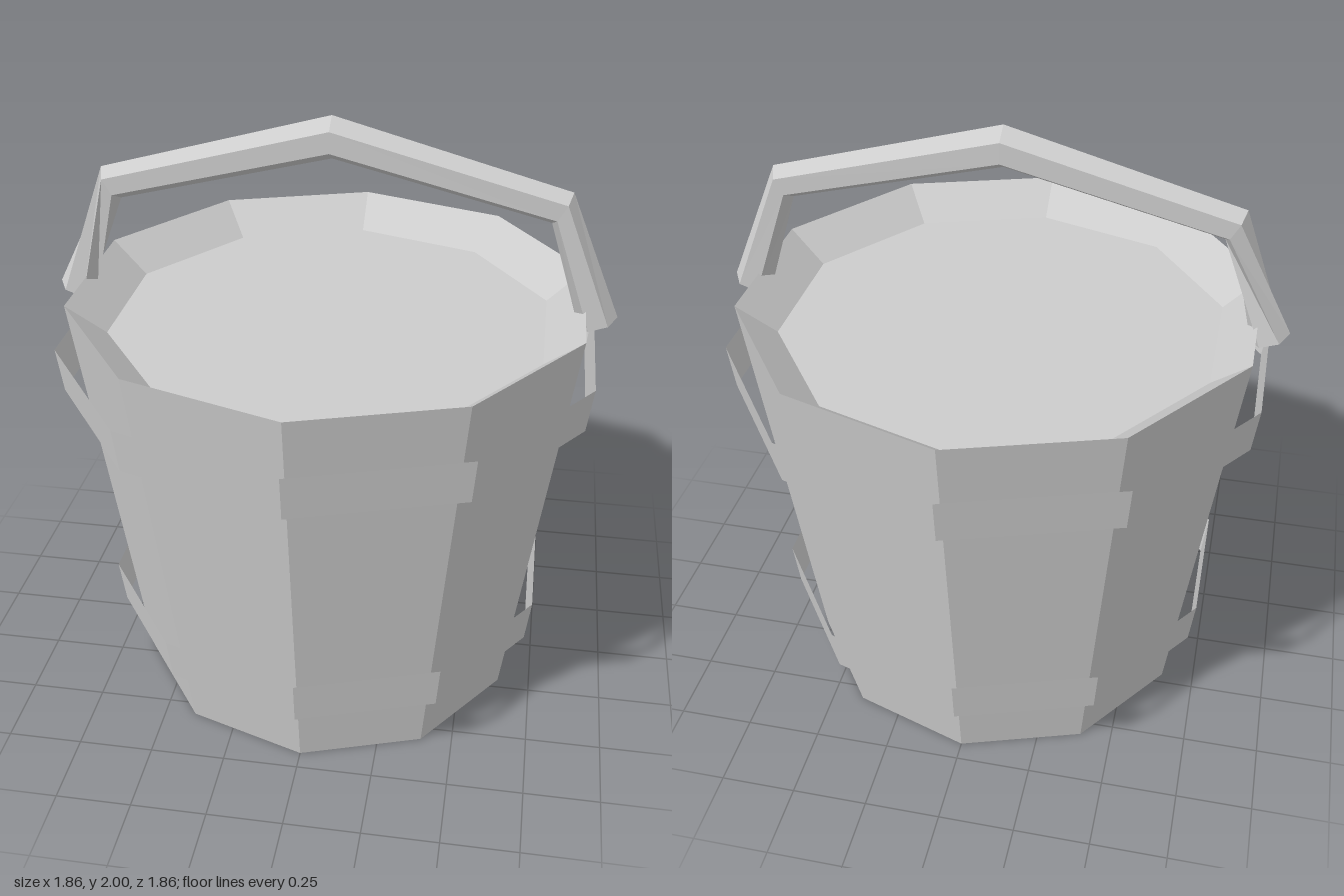
import * as THREE from 'three';

const SIDES = 10;
const SQUASH = 0.982; // the bucket is slightly narrower in x than in z

export function createModel() {
  const group = new THREE.Group();
  const grey = new THREE.MeshStandardMaterial({ color: 0xcccccc, flatShading: true, side: THREE.DoubleSide });
  grey.name = 'plain grey';

  const add = (name, geometry) => {
    const mesh = new THREE.Mesh(geometry, grey);
    mesh.name = name;
    group.add(mesh);
    return mesh;
  };
  const turned = (name, profile) => {
    const points = profile.map(([r, y]) => new THREE.Vector2(r, y));
    add(name, new THREE.LatheGeometry(points, SIDES)).scale.x = SQUASH;
  };

  // Tapered body, sharp rim and the raised surface just inside it
  turned('bucketBody', [[0, 0], [0.685, 0], [0.886, 1.415], [0.755, 1.31], [0, 1.31]]);

  // Thin hoops standing off the staves
  turned('lowerHoop', [[0.77, 0.228], [0.79, 0.38]]);
  turned('upperHoop', [[0.912, 1.11], [0.932, 1.26]]);

  add('handle', handleGeometry());
  return group;
}

// Hexagonal bar swept over five stations, with a twisted last section on one side
function handleGeometry() {
  const N = 6;
  const stations = [ // x, y, outward normal x and y, radius, twist steps
    [-0.87, 1.356, -0.94, 0.33, 0.065, 2],
    [-0.728, 1.74, -0.5, 0.866, 0.06, 0],
    [0, 1.93, 0, 1, 0.07, 0],
    [0.728, 1.74, 0.5, 0.866, 0.06, 0],
    [0.87, 1.356, 0.94, 0.33, 0.065, 0],
  ];
  const positions = [];
  const index = [];
  for (const [x, y, nx, ny, r, twist] of stations) {
    for (let j = 0; j < N; j++) {
      const a = ((j + twist) / N) * Math.PI * 2;
      const out = r * Math.cos(a);
      positions.push(x + out * nx, y + out * ny, r * Math.sin(a));
    }
  }
  // Side faces
  for (let i = 0; i < stations.length - 1; i++) {
    for (let j = 0; j < N; j++) {
      const k = (j + 1) % N;
      const a = i * N + j, b = i * N + k, c = (i + 1) * N + k, d = (i + 1) * N + j;
      index.push(a, b, c, a, c, d);
    }
  }
  // End caps
  const last = (stations.length - 1) * N;
  for (let j = 1; j < N - 1; j++) {
    index.push(0, j + 1, j, last, last + j, last + j + 1);
  }
  const geometry = new THREE.BufferGeometry();
  geometry.setAttribute('position', new THREE.Float32BufferAttribute(positions, 3));
  geometry.setIndex(index);
  geometry.computeVertexNormals();
  return geometry;
}
